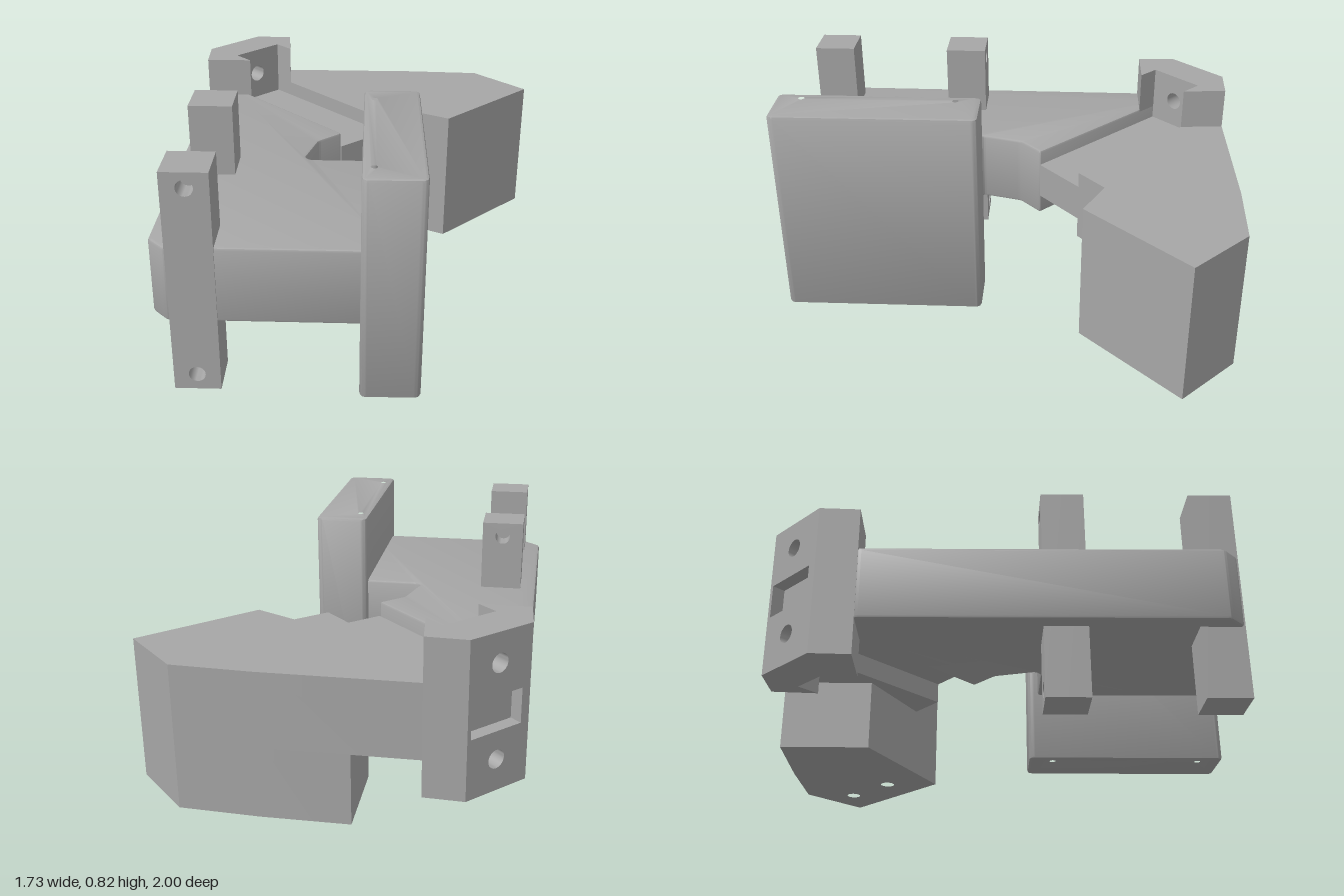
import * as THREE from 'three';
import { toCreasedNormals } from 'three/addons/utils/BufferGeometryUtils.js';

const grey = new THREE.MeshStandardMaterial({ color: 0xa6a6a6 });
grey.name = 'grey';

function add(parent, name, geometry) {
  const mesh = new THREE.Mesh(toCreasedNormals(geometry, 0.6), grey);
  mesh.name = name;
  parent.add(mesh);
  return mesh;
}

// Closed outline; r rounds every corner
function outline(points, r = 0) {
  const p = points.map(([a, b]) => new THREE.Vector2(a, b));
  if (!r) return new THREE.Shape(p);
  const shape = new THREE.Shape();
  p.forEach((c, i) => {
    const prev = p[(i + p.length - 1) % p.length], next = p[(i + 1) % p.length];
    const a = prev.clone().sub(c).setLength(r).add(c);
    const b = next.clone().sub(c).setLength(r).add(c);
    if (i) shape.lineTo(a.x, a.y); else shape.moveTo(a.x, a.y);
    shape.quadraticCurveTo(c.x, c.y, b.x, b.y);
  });
  shape.closePath();
  return shape;
}

function bore(shape, x, y, r) {
  shape.holes.push(new THREE.Path().absarc(x, y, r, 0, Math.PI * 2, true));
}

// Upright prism from a floor plan of [x, z] points, with optional bores [x, z, r]
function prism(plan, y0, y1, { round = 0, bevel = 0, bores = [] } = {}) {
  const shape = outline(plan.map(([x, z]) => [x, -z]), round);
  bores.forEach(([x, z, r]) => bore(shape, x, -z, r));
  const geo = new THREE.ExtrudeGeometry(shape, {
    depth: y1 - y0 - 2 * bevel, curveSegments: 8,
    bevelEnabled: bevel > 0, bevelThickness: bevel, bevelSize: bevel,
    bevelOffset: -bevel, bevelSegments: 2,
  });
  return geo.rotateX(-Math.PI / 2).translate(0, y0 + bevel, 0);
}

const rect = (x0, y0, x1, y1) => [[x0, y0], [x1, y0], [x1, y1], [x0, y1]];

export function createModel() {
  const model = new THREE.Group();
  model.name = 'bracket';

  // Main plate, in front of and behind the cable channel
  add(model, 'frontPlate', prism([
    [-0.76, -0.06], [-0.76, 0.07], [0.16, 1], [0.24, 1], [0.77, 0.47], [0.28, -0.02],
    [0.06, 0.2], [0.03, 0.2], [-0.05, 0.06], [-0.045, -0.06],
  ], 0.27, 0.55, { round: 0.012, bevel: 0.01 }));
  add(model, 'backPlate', prism([
    [0.15, -1], [0.15, -0.49], [-0.02, -0.435], [-0.03, -0.29],
    [-0.76, -0.29], [-0.76, -0.4], [-0.36, -0.8], [-0.14, -1],
  ], 0.27, 0.55));
  add(model, 'channelFloor', prism(
    [[-0.82, -0.29], [-0.03, -0.29], [-0.045, -0.06], [-0.82, -0.06]], 0.35, 0.49));

  // Lower half of the back block, with two blind holes underneath
  add(model, 'backBlock', prism([
    [0.15, -1], [0.15, -0.49], [-0.02, -0.435], [-0.35, -0.33],
    [-0.59, -0.57], [-0.36, -0.8], [-0.14, -1],
  ], 0, 0.27, { bores: [[0.01, -0.64, 0.028], [0.01, -0.87, 0.028]] }));

  // Tall side block, bored from both ends
  add(model, 'sideBlock', prism(
    [[0.32, -0.115], [0.865, 0.425], [0.72, 0.575], [0.175, 0.03]], 0, 0.82,
    { round: 0.025, bevel: 0.01, bores: [[0.27, 0.07, 0.022], [0.68, 0.48, 0.022]] }));

  // End clamp: two jaws and a pierced wall
  const clamp = new THREE.Group();
  clamp.name = 'endClamp';
  model.add(clamp);
  add(clamp, 'backJaw', prism(
    [[-0.87, -0.3], [-0.76, -0.4], [-0.63, -0.29], [-0.87, -0.29]], 0.13, 0.71));
  add(clamp, 'frontJaw', prism(
    [[-0.87, -0.03], [-0.87, -0.06], [-0.63, -0.06], [-0.76, 0.07]], 0.13, 0.71));
  const wall = outline(rect(0.06, 0.13, 0.29, 0.71));
  bore(wall, 0.17, 0.25, 0.035);
  bore(wall, 0.17, 0.6, 0.035);
  wall.holes.push(outline(rect(0.065, 0.355, 0.285, 0.485)));
  add(clamp, 'clampWall', new THREE.ExtrudeGeometry(wall, { depth: 0.15, bevelEnabled: false })
    .rotateY(Math.PI / 2).translate(-0.87, 0, 0));

  // Two square posts, each with blind holes near the ends of its outer face
  const face = outline(rect(-0.08, 0, 0.08, 0.82));
  [0.06, 0.765].forEach((y) => bore(face, 0, y, 0.029));
  [['frontPost', 0.25, 0.885, 0.25], ['rearPost', -0.14, 0.495, 1.25]].forEach(([name, x, z, turn]) => {
    const post = new THREE.Group();
    post.name = name;
    add(post, 'boredHalf', new THREE.ExtrudeGeometry(face, { depth: 0.08, bevelEnabled: false }));
    add(post, 'solidHalf', new THREE.BoxGeometry(0.16, 0.82, 0.08).translate(0, 0.41, -0.04));
    post.position.set(x, 0, z);
    post.rotation.y = turn * Math.PI;
    model.add(post);
  });

  return model;
}
